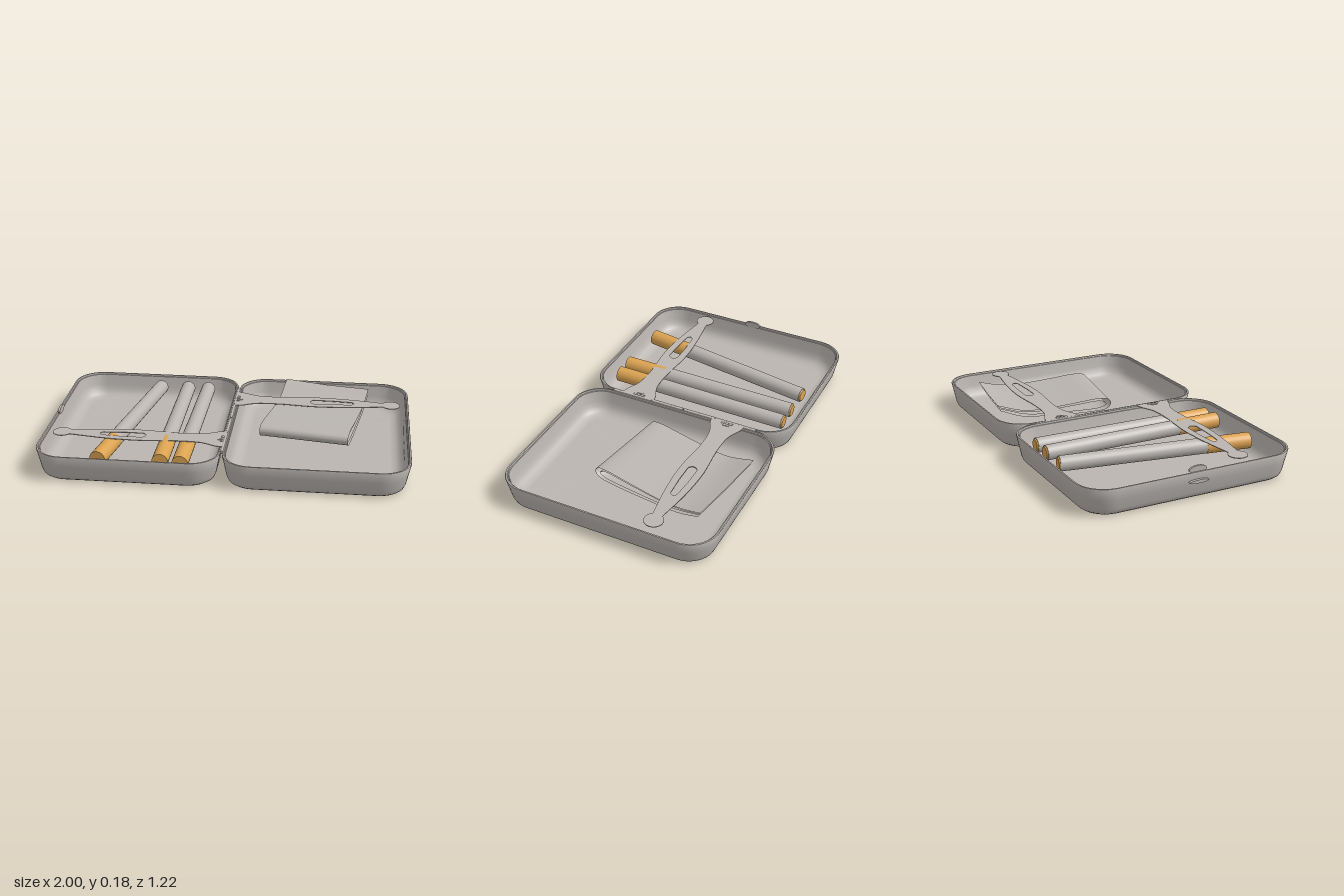
import * as THREE from 'three';
import { toCreasedNormals } from 'three/addons/utils/BufferGeometryUtils.js';

const metal = new THREE.MeshStandardMaterial({ color: 0xbab5b1, side: THREE.DoubleSide });
metal.name = 'grey';
const tan = new THREE.MeshStandardMaterial({ color: 0xdba352 });
tan.name = 'filterTan';

function part(name, geometry, material, parent, x = 0, y = 0, z = 0) {
  const mesh = new THREE.Mesh(geometry, material);
  mesh.name = name;
  mesh.position.set(x, y, z);
  parent.add(mesh);
  return mesh;
}

// Rounded rectangle rings, swept up the outside, over the rim and down inside
function trayGeometry(hw, hd) {
  const profile = [
    [0.066, 0], [0.06, 0], [0.045, 0.003], [0.032, 0.013], [0.023, 0.035], [0.012, 0.09], [0, 0.147],
    [0.002, 0.152], [0.01, 0.152], [0.013, 0.144], [0.018, 0.143], [0.028, 0.08],
    [0.036, 0.05], [0.05, 0.029], [0.07, 0.017], [0.095, 0.011], [0.1, 0.011],
  ];
  const pos = [], index = [], seg = 10, n = 4 * (seg + 1);
  for (const [inset, y] of profile) {
    const r = 0.16 - inset * 0.7;
    for (let k = 0; k < 4; k++) {
      const sx = k === 0 || k === 3 ? 1 : -1, sz = k < 2 ? 1 : -1;
      for (let t = 0; t <= seg; t++) {
        const a = (k + t / seg) * Math.PI / 2;
        pos.push(sx * (hw - inset - r) + r * Math.cos(a), y, sz * (hd - inset - r) + r * Math.sin(a));
      }
    }
  }
  const last = profile.length - 1, under = pos.length / 3, floor = under + 1;
  pos.push(0, 0, 0, 0, 0.011, 0);
  for (let j = 0; j < n; j++) {
    const j2 = (j + 1) % n;
    for (let i = 0; i < last; i++) {
      const a = i * n + j, b = i * n + j2, c = a + n, d = b + n;
      index.push(a, c, b, b, c, d);
    }
    index.push(under, j, j2, floor, last * n + j2, last * n + j);
  }
  const g = new THREE.BufferGeometry();
  g.setAttribute('position', new THREE.Float32BufferAttribute(pos, 3));
  g.setIndex(index);
  return toCreasedNormals(g, 0.7);
}

// Flat shaped retaining band with a slot, running along +x from the hinge
function strapGeometry() {
  const half = [[0, 0.098], [0.045, 0.09], [0.13, 0.056], [0.265, 0.051], [0.46, 0.067], [0.65, 0.057], [0.853, 0.028]];
  const shape = new THREE.Shape();
  const lower = half.map(([x, w]) => new THREE.Vector2(x, -w));
  const upper = half.map(([x, w]) => new THREE.Vector2(x, w)).reverse();
  shape.moveTo(0, -0.098);
  shape.splineThru(lower.slice(1));
  shape.absarc(0.895, 0, 0.052, -2.6, 2.6, false);
  shape.splineThru(upper.slice(1));
  shape.closePath();
  const slot = new THREE.Path();
  slot.moveTo(0.45, -0.026);
  slot.lineTo(0.55, -0.026);
  slot.lineTo(0.67, -0.018);
  slot.quadraticCurveTo(0.7, 0, 0.67, 0.018);
  slot.lineTo(0.55, 0.026);
  slot.lineTo(0.45, 0.026);
  slot.quadraticCurveTo(0.415, 0, 0.45, -0.026);
  shape.holes.push(slot);
  const g = new THREE.ExtrudeGeometry(shape, { depth: 0.004, bevelEnabled: false, curveSegments: 10 });
  return g.rotateX(-Math.PI / 2);
}

// Sheet bent along a curve of [z, y] points, its left back corner lifted
function sheetGeometry(points, width) {
  const curve = new THREE.CatmullRomCurve3(points.map(([z, y]) => new THREE.Vector3(0, y, z)));
  const g = new THREE.PlaneGeometry(width, 1, 8, 64);
  const p = g.attributes.position;
  for (let i = 0; i < p.count; i++) {
    const x = p.getX(i), q = curve.getPoint(THREE.MathUtils.clamp(0.5 - p.getY(i), 0, 1));
    const lift = 0.012 * Math.max(0, -x / 0.245) * THREE.MathUtils.smoothstep(-q.z, 0.16, 0.33);
    p.setXYZ(i, x, q.y + lift, q.z);
  }
  g.computeVertexNormals();
  return g;
}

// Rolled stick from its open end to its filter end
function stick(from, to) {
  const a = new THREE.Vector3(...from), b = new THREE.Vector3(...to);
  const len = a.distanceTo(b), tip = 0.25, r = 0.043;
  const g = new THREE.Group();
  g.name = 'cigarette';
  g.position.copy(a);
  g.quaternion.setFromUnitVectors(new THREE.Vector3(0, 1, 0), b.clone().sub(a).normalize());
  part('paperTube', new THREE.CylinderGeometry(r, r - 0.002, len - tip, 24), metal, g, 0, (len - tip) / 2, 0);
  part('filter', new THREE.CylinderGeometry(r + 0.001, r + 0.001, tip, 24), tan, g, 0, len - tip / 2, 0);
  part('tobacco', new THREE.CylinderGeometry(0.037, 0.032, 0.008, 20), tan, g, 0, -0.003, 0);
  return g;
}

export function createModel() {
  const model = new THREE.Group();
  model.name = 'openCase';

  // Two halves of the case
  const tray = trayGeometry(0.496, 0.608);
  part('rightTray', tray, metal, model, -0.496, 0, -0.003);
  part('leftTray', tray, metal, model, 0.504, 0, 0);

  // Hinge knuckles
  for (const [z, len] of [[-0.32, 0.24], [-0.1, 0.19], [0.1, 0.19], [0.32, 0.24]]) {
    part('hingeKnuckle', new THREE.CylinderGeometry(0.009, 0.009, len, 12).rotateX(Math.PI / 2), metal, model, 0.004, 0.147, z);
  }

  // Retaining bands, one per half, with small spring barrels
  const strap = strapGeometry();
  for (const side of [1, -1]) {
    const band = new THREE.Group();
    band.name = side > 0 ? 'leftBand' : 'rightBand';
    band.position.set(0.004, 0.151, side > 0 ? -0.276 : 0.286);
    band.rotation.y = side > 0 ? 0 : Math.PI;
    part('band', strap, metal, band);
    for (const z of [-0.024, 0, 0.024]) {
      part('springBarrel', new THREE.CylinderGeometry(0.009, 0.009, 0.018, 12).rotateX(Math.PI / 2), metal, band, 0.014, 0, z);
    }
    part('springPlate', new THREE.BoxGeometry(0.014, 0.008, 0.036), metal, band, 0.032, 0.003, 0);
    model.add(band);
  }

  // Cigarettes
  model.add(stick([-0.478, 0.106, -0.525], [-0.65, 0.109, 0.515]));
  model.add(stick([-0.314, 0.107, -0.525], [-0.314, 0.114, 0.52]));
  model.add(stick([-0.192, 0.107, -0.525], [-0.208, 0.108, 0.52]));

  // Folded paper, open towards the back
  const paper = new THREE.Group();
  paper.name = 'foldedPaper';
  paper.position.set(0.472, 0, -0.178);
  paper.rotation.y = -0.158;
  part('outerSheet', sheetGeometry([[-0.335, 0.17], [-0.25, 0.148], [-0.15, 0.134], [-0.05, 0.135], [0.1, 0.147],
    [0.28, 0.161], [0.325, 0.15], [0.335, 0.125], [0.31, 0.096], [0.2, 0.086], [0, 0.09], [-0.2, 0.104],
    [-0.32, 0.138]], 0.495), metal, paper);
  part('innerSheet', sheetGeometry([[-0.325, 0.156], [-0.22, 0.131], [-0.1, 0.122], [0.1, 0.133], [0.28, 0.143],
    [0.31, 0.125], [0.28, 0.106], [0.1, 0.1], [-0.15, 0.11], [-0.32, 0.147]], 0.485), metal, paper);
  model.add(paper);

  // Catch on the free edge: upright tab and outer push button
  const oval = (w, h, depth) => {
    const s = new THREE.Shape();
    s.absellipse(0, 0, w / 2, h / 2, 0, Math.PI * 2, false);
    return new THREE.ExtrudeGeometry(s, { depth, bevelEnabled: false }).rotateY(Math.PI / 2);
  };
  part('catchTab', oval(0.1, 0.04, 0.012), metal, model, -0.977, 0.16, -0.003);
  part('catchButton', oval(0.11, 0.018, 0.022), metal, model, -1, 0.104, -0.006);

  return model;
}
